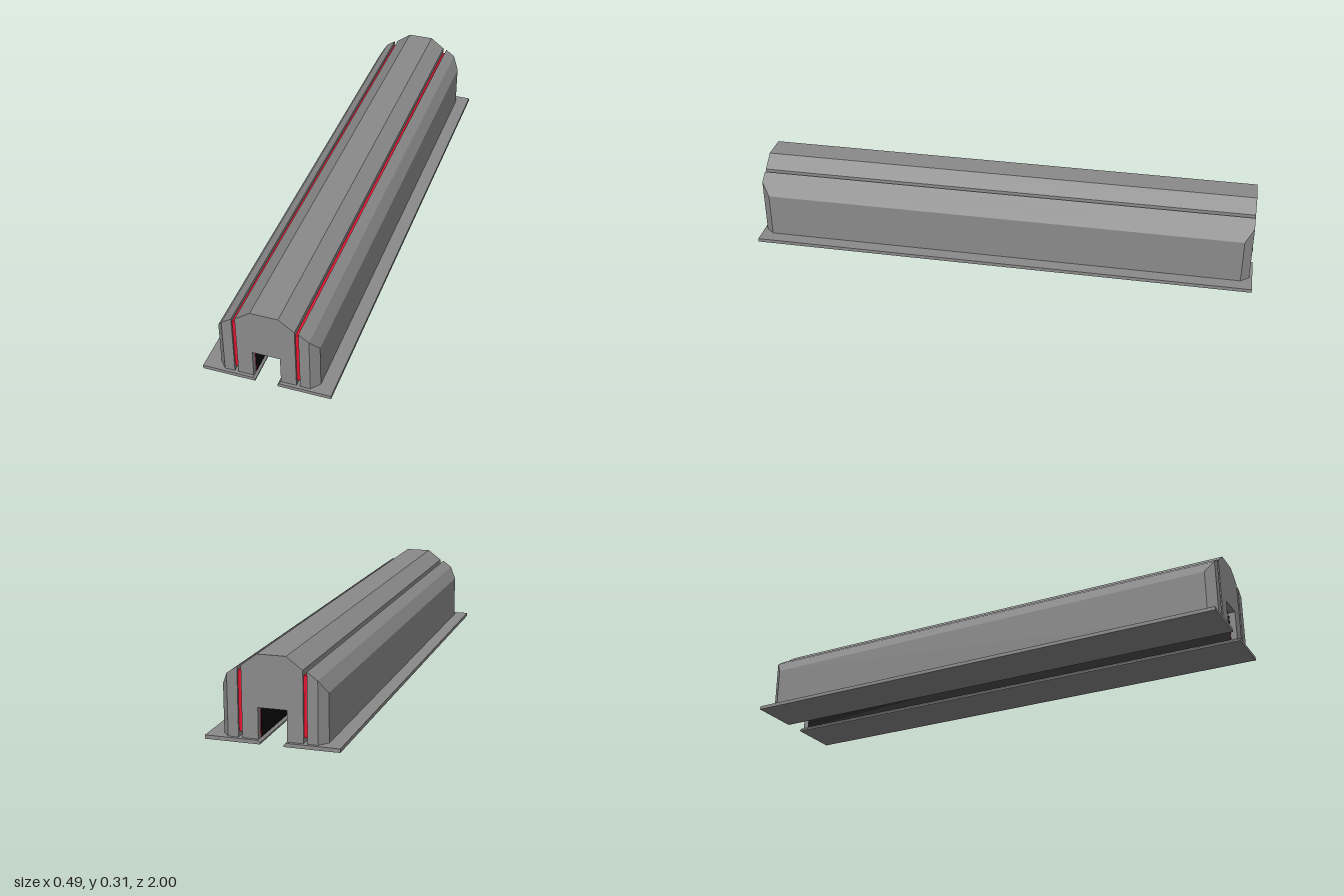
import * as THREE from 'three';
import { ConvexGeometry } from 'three/addons/geometries/ConvexGeometry.js';

const material = (color) => new THREE.MeshStandardMaterial({ color, flatShading: true });

// Extrude an x/y outline along z, centred on z = 0
function bar(name, points, length, mat) {
  const shape = new THREE.Shape(points.map(([x, y]) => new THREE.Vector2(x, y)));
  const geometry = new THREE.ExtrudeGeometry(shape, { depth: length, bevelEnabled: false });
  geometry.translate(0, 0, -length / 2);
  const mesh = new THREE.Mesh(geometry, mat);
  mesh.name = name;
  return mesh;
}

// Long box given by its x and y ranges
function strip(name, x0, x1, y0, y1, length, mat) {
  const geometry = new THREE.BoxGeometry(Math.abs(x1 - x0), y1 - y0, length);
  geometry.translate((x0 + x1) / 2, (y0 + y1) / 2, 0);
  const mesh = new THREE.Mesh(geometry, mat);
  mesh.name = name;
  return mesh;
}

export function createModel() {
  const group = new THREE.Group();
  group.name = 'tunnelBar';
  const grey = material(0x8a8a8a);
  const red = material(0xe2142f);
  const black = material(0x080808);
  const base = 0.014, bodyLength = 1.976, half = bodyLength / 2, liningLength = 1.93;

  // Central arch with a square channel underneath
  const right = [[0.052, base], [0.11, base], [0.11, 0.27], [0.052, 0.313]];
  const left = right.map(([x, y]) => [-x, y]).reverse();
  group.add(bar('core', [...right, ...left, [-0.052, 0.126], [0.052, 0.126]], bodyLength, grey));

  // Channel ceiling lining, set back from the ends
  group.add(strip('ceilingBacking', -0.042, 0.042, 0.124, 0.126, liningLength, red));
  group.add(strip('ceilingLining', -0.042, 0.042, 0.1235, 0.124, liningLength, black));

  for (const s of [1, -1]) {
    const side = s > 0 ? 'left' : 'right';

    // Foot plate with a small chamfer along the slot
    const foot = [[0.042, 0], [0.243, 0], [0.243, base], [0.05, base], [0.042, 0.006]];
    group.add(bar(side + 'FootPlate', foot.map(([x, y]) => [s * x, y]), 2, grey));

    // Outer shell with chamfered outer end corners
    const corners = [];
    for (const z of [1, -1]) {
      for (const [x, y] of [[0.124, base], [0.162, base], [0.162, 0.238], [0.124, 0.265]])
        corners.push(new THREE.Vector3(s * x, y, z * half));
      for (const y of [base, 0.19])
        corners.push(new THREE.Vector3(s * 0.19, y, z * 0.955));
    }
    const shell = new THREE.Mesh(new ConvexGeometry(corners), grey);
    shell.name = side + 'Shell';
    group.add(shell);

    // Coloured spacer between core and shell
    group.add(strip(side + 'Spacer', s * 0.11, s * 0.124, 0.033, 0.25, 1.96, red));

    // Channel wall lining, set back from the ends
    group.add(strip(side + 'WallBacking', s * 0.05, s * 0.052, base, 0.115, liningLength, red));
    group.add(strip(side + 'WallLining', s * 0.0495, s * 0.05, base, 0.115, liningLength, black));
  }
  return group;
}
